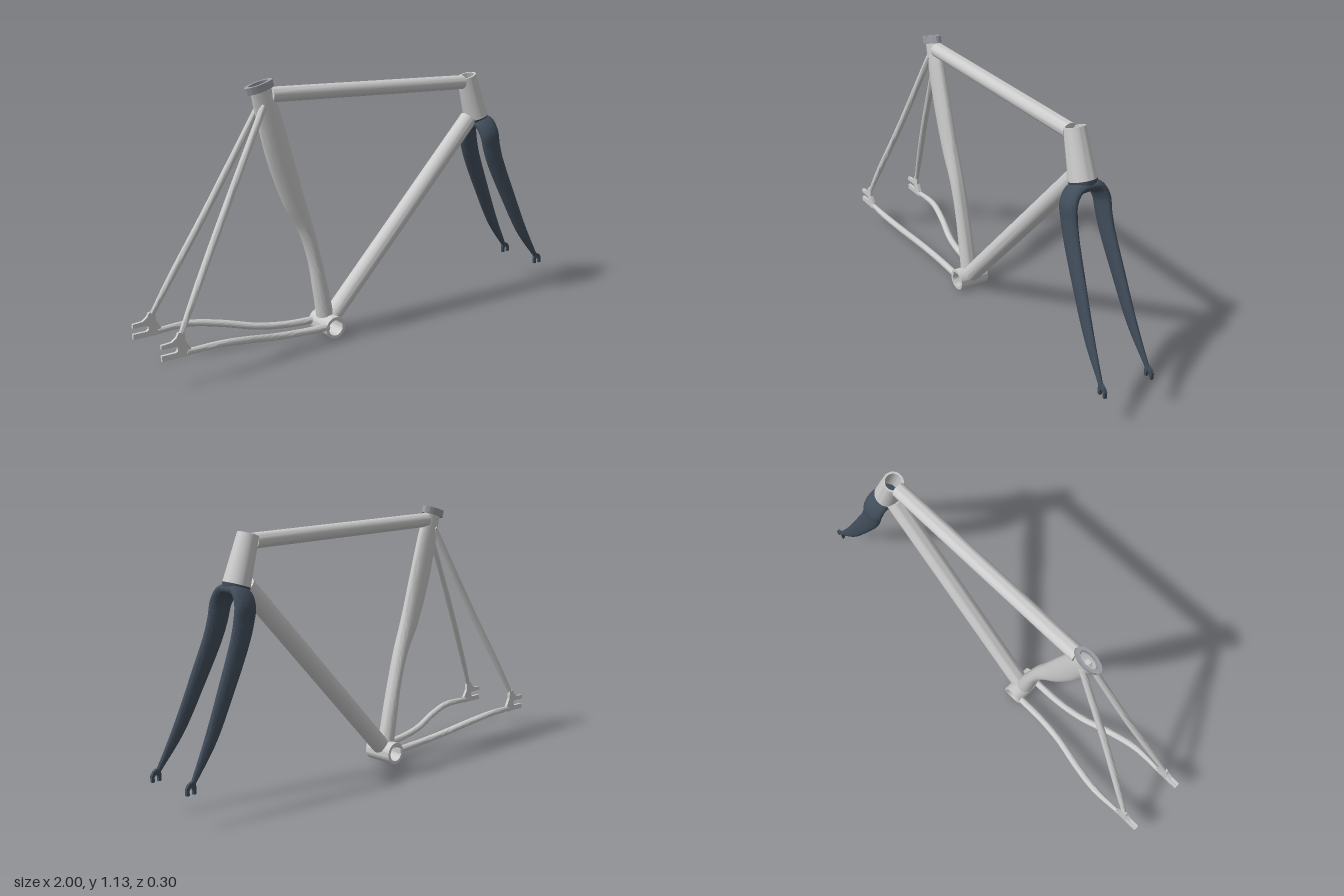
import * as THREE from 'three';
import { toCreasedNormals } from 'three/addons/utils/BufferGeometryUtils.js';

const grey = new THREE.MeshStandardMaterial({ color: 0xcccccc, side: THREE.DoubleSide });
const dark = new THREE.MeshStandardMaterial({ color: 0x414d5b, side: THREE.DoubleSide });
const clampGrey = new THREE.MeshStandardMaterial({ color: 0x9a9ea6, side: THREE.DoubleSide });

// Smooth tube with elliptical sections; each station is [x, y, z, foreAftRadius, otherRadius]
function sweep(stations, { steps = 48, sides = 28, ref = [1, 0.27, 0], capped = true } = {}) {
  const path = new THREE.CatmullRomCurve3(stations.map(s => new THREE.Vector3(s[0], s[1], s[2])));
  const size = new THREE.CatmullRomCurve3(stations.map(s => new THREE.Vector3(s[3], s[4], 0)), false, 'catmullrom', 0.5);
  const refV = new THREE.Vector3(...ref);
  const pos = [], idx = [];
  const ring = (t, scale) => {
    const p = path.getPoint(t), r = size.getPoint(t), d = path.getTangent(t);
    const u = refV.clone().addScaledVector(d, -refV.dot(d)).normalize();
    const v = d.clone().cross(u);
    for (let j = 0; j <= sides; j++) {
      const a = (j / sides) * Math.PI * 2;
      const q = p.clone().addScaledVector(u, Math.cos(a) * r.x * scale).addScaledVector(v, Math.sin(a) * r.y * scale);
      pos.push(q.x, q.y, q.z);
    }
  };
  if (capped) ring(0, 0);
  for (let i = 0; i <= steps; i++) ring(i / steps, 1);
  if (capped) ring(1, 0);
  const n = sides + 1, rings = pos.length / 3 / n;
  for (let i = 0; i < rings - 1; i++) {
    for (let j = 0; j < sides; j++) {
      const a = i * n + j, b = a + 1, c = a + n, d = c + 1;
      idx.push(a, b, c, b, d, c);
    }
  }
  const g = new THREE.BufferGeometry();
  g.setAttribute('position', new THREE.Float32BufferAttribute(pos, 3));
  g.setIndex(idx);
  return toCreasedNormals(g, 0.7);
}

// Hollow pipe from p0 to p1 with outer radii R0, R1 and inner radii r0, r1
function pipe(p0, p1, R0, R1, r0, r1, material) {
  const a = new THREE.Vector3(...p0), dir = new THREE.Vector3(...p1).sub(a);
  const h = dir.length();
  const profile = [[R0, 0], [R1, h], [r1, h], [r0, 0], [R0, 0]].map(p => new THREE.Vector2(...p));
  const mesh = new THREE.Mesh(toCreasedNormals(new THREE.LatheGeometry(profile, 40), 0.7), material);
  mesh.position.copy(a);
  mesh.quaternion.setFromUnitVectors(new THREE.Vector3(0, 1, 0), dir.normalize());
  return mesh;
}

// Flat plate in the x-y plane, centred on z
function plate(points, z, thickness) {
  const shape = new THREE.Shape(points.map(p => new THREE.Vector2(...p)));
  return new THREE.ExtrudeGeometry(shape, { depth: thickness, bevelEnabled: false }).translate(0, 0, z - thickness / 2);
}

export function createModel() {
  const model = new THREE.Group();
  const add = (name, part, material = grey) => {
    const mesh = part.isObject3D ? part : new THREE.Mesh(part, material);
    mesh.name = name;
    model.add(mesh);
  };

  // Main tubes
  add('bottomBracketShell', pipe([-0.165, 0.049, -0.07], [-0.165, 0.049, 0.07], 0.048, 0.048, 0.035, 0.035, grey));
  add('headTube', pipe([0.658, 0.874, 0], [0.596, 1.064, 0], 0.055, 0.043, 0.044, 0.034, grey));
  add('topTube', sweep([[-0.425, 1.068, 0, 0.031, 0.033], [0.57, 1.037, 0, 0.031, 0.033]], { steps: 4, ref: [0, 1, 0] }));
  add('downTube', sweep([[-0.139, 0.078, 0, 0.039, 0.039], [0.615, 0.868, 0, 0.039, 0.039]], { steps: 4 }));

  // Flattened seat tube, scooped at the back for the wheel
  add('seatTube', sweep([
    [-0.468, 1.093, 0, 0.046, 0.024],
    [-0.44, 1.0, 0, 0.054, 0.028],
    [-0.387, 0.81, 0, 0.058, 0.03],
    [-0.323, 0.62, 0, 0.049, 0.031],
    [-0.267, 0.49, 0, 0.034, 0.032],
    [-0.226, 0.35, 0, 0.029, 0.033],
    [-0.199, 0.22, 0, 0.034, 0.034],
    [-0.176, 0.093, 0, 0.038, 0.035],
  ], { capped: false }));

  // Oval clamp ring on top of the seat tube
  const oval = new THREE.Shape().absellipse(0, 0, 0.064, 0.031, 0, Math.PI * 2);
  oval.holes.push(new THREE.Path().absellipse(0, 0, 0.045, 0.021, 0, Math.PI * 2));
  const ringGeometry = new THREE.ExtrudeGeometry(oval, { depth: 0.03, bevelEnabled: false, curveSegments: 24 });
  const ring = new THREE.Mesh(toCreasedNormals(ringGeometry.rotateX(-Math.PI / 2), 0.7), clampGrey);
  ring.position.set(-0.47, 1.088, 0);
  ring.rotation.z = 0.26;
  add('seatClamp', ring);

  // Fork: one sweep from tip over the crown to the other tip
  const half = [
    [0.67, 0.847, 0.045, 0.05, 0.024],
    [0.677, 0.803, 0.074, 0.05, 0.024],
    [0.69, 0.74, 0.079, 0.048, 0.021],
    [0.711, 0.674, 0.082, 0.045, 0.02],
    [0.783, 0.513, 0.091, 0.038, 0.018],
    [0.874, 0.326, 0.101, 0.028, 0.014],
    [0.965, 0.182, 0.11, 0.01, 0.008],
  ];
  const mirrored = half.map(([x, y, z, a, b]) => [x, y, -z, a, b]).reverse();
  add('fork', sweep([...mirrored, [0.668, 0.853, 0, 0.05, 0.024], ...half], { steps: 110 }), dark);
  add('forkCrownRace', pipe([0.667, 0.845, 0], [0.658, 0.874, 0], 0.05, 0.056, 0.02, 0.02, dark));

  for (const s of [1, -1]) {
    const side = s > 0 ? 'left' : 'right';

    // Fork end, a small fork opening downward
    add(side + 'ForkEnd', plate([
      [0.957, 0.142], [0.968, 0.142], [0.968, 0.16], [0.973, 0.169], [0.981, 0.169], [0.986, 0.16],
      [0.986, 0.142], [0.998, 0.142], [0.998, 0.168], [0.989, 0.182], [0.972, 0.192], [0.958, 0.184], [0.955, 0.165],
    ], s * 0.111, 0.012), dark);

    // Rear stays
    add(side + 'SeatStay', sweep([
      [-0.465, 1.03, s * 0.018, 0.014, 0.014],
      [-0.69, 0.62, s * 0.068, 0.015, 0.015],
      [-0.835, 0.36, s * 0.109, 0.014, 0.014],
      [-0.913, 0.215, s * 0.131, 0.011, 0.009],
    ], { steps: 24, sides: 18 }));
    add(side + 'ChainStay', sweep([
      [-0.195, 0.055, s * 0.055, 0.016, 0.016],
      [-0.34, 0.063, s * 0.058, 0.015, 0.015],
      [-0.47, 0.08, s * 0.074, 0.015, 0.015],
      [-0.62, 0.114, s * 0.112, 0.015, 0.015],
      [-0.75, 0.136, s * 0.135, 0.014, 0.014],
      [-0.895, 0.136, s * 0.133, 0.013, 0.009],
    ], { steps: 40, sides: 18, ref: [0, 1, 0] }));

    // Rear dropout with a slot opening backward
    add(side + 'RearDropout', plate([
      [-1, 0.187], [-0.958, 0.19], [-0.937, 0.205], [-0.928, 0.222], [-0.902, 0.222], [-0.9, 0.185],
      [-0.88, 0.15], [-0.88, 0.122], [-1, 0.122], [-1, 0.145], [-0.942, 0.145], [-0.933, 0.152],
      [-0.933, 0.163], [-0.942, 0.17], [-1, 0.17],
    ], s * 0.133, 0.013));
  }
  return model;
}
